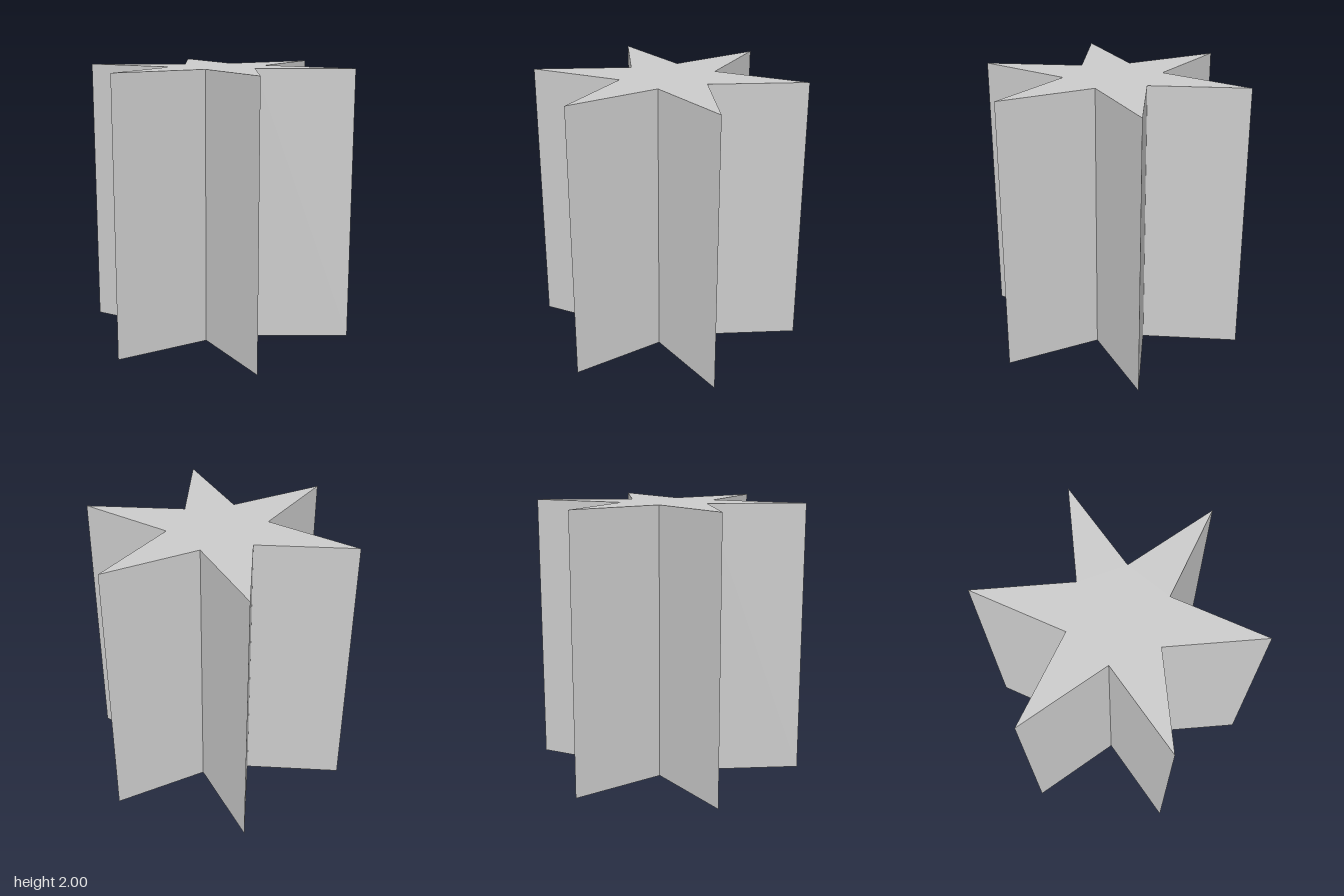
import * as THREE from 'three';

const POINTS = 6;
const OUTER_RADIUS = 1;
const INNER_RADIUS = 0.36;
const HEIGHT = 2;

// Star outline: tips and valleys alternate, starting with a tip on the long axis
function starShape() {
  const corners = [];
  for (let i = 0; i < POINTS * 2; i++) {
    const radius = i % 2 === 0 ? OUTER_RADIUS : INNER_RADIUS;
    const angle = Math.PI / 2 + (i * Math.PI) / POINTS;
    corners.push(new THREE.Vector2(radius * Math.cos(angle), radius * Math.sin(angle)));
  }
  return new THREE.Shape(corners);
}

export function createModel() {
  const model = new THREE.Group();
  model.name = 'starPrism';

  // Upright prism standing on y = 0
  const geometry = new THREE.ExtrudeGeometry(starShape(), { depth: HEIGHT, bevelEnabled: false });
  geometry.rotateX(-Math.PI / 2);

  const material = new THREE.MeshStandardMaterial({ color: 0xcccccc, flatShading: true });
  const body = new THREE.Mesh(geometry, material);
  body.name = 'starBody';
  model.add(body);

  return model;
}
